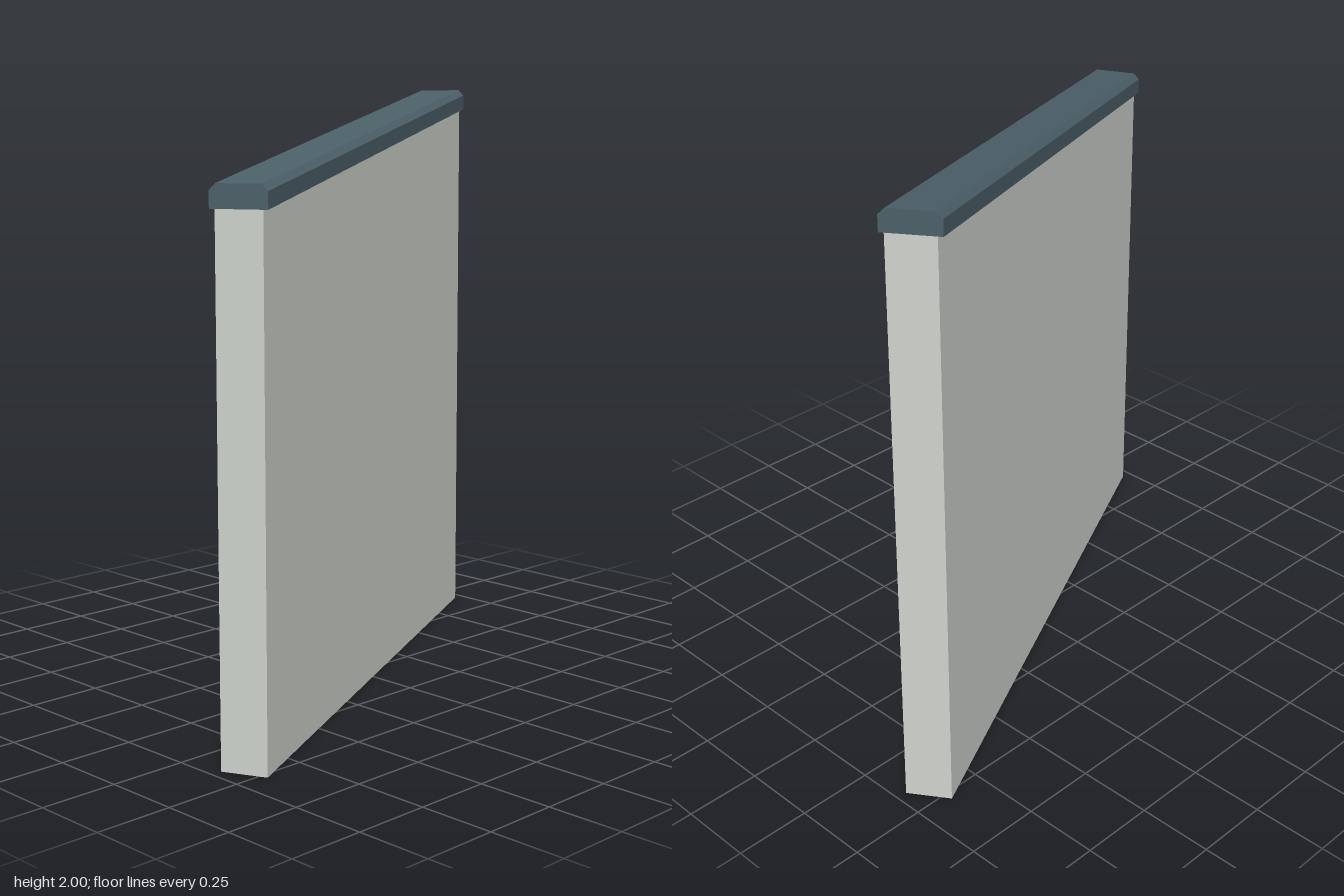
import * as THREE from 'three';

// Solid between two matching cross-sections, listed counter-clockwise seen from the front
function loft(front, back) {
  const pos = [];
  const tri = (a, b, c) => pos.push(...a, ...b, ...c);
  const n = front.length;
  for (let i = 0; i < n; i++) {
    const j = (i + 1) % n;
    tri(front[i], back[j], front[j]);
    tri(front[i], back[i], back[j]);
  }
  for (let i = 1; i < n - 1; i++) {
    tri(front[0], front[i], front[i + 1]);
    tri(back[0], back[i + 1], back[i]);
  }
  const geometry = new THREE.BufferGeometry();
  geometry.setAttribute('position', new THREE.Float32BufferAttribute(pos, 3));
  geometry.computeVertexNormals();
  return geometry;
}

// Section across the wall: p and q are the two plan corners, profile gives [t across, height]
const section = (p, q, profile) => profile.map(([t, y]) => [
  p[0] + (q[0] - p[0]) * t, y, p[1] + (q[1] - p[1]) * t,
]);

const wallProfile = (top) => [[0, 0], [1, 0], [1, top], [0, top]];
// Coping with bevelled upper edges
const copingProfile = (y) => [
  [0, y], [1, y], [1, y + 0.052], [0.89, y + 0.072], [0.11, y + 0.072], [0, y + 0.052],
];

export function createModel() {
  const group = new THREE.Group();
  const add = (name, color, geometry) => {
    const material = new THREE.MeshStandardMaterial({ color, flatShading: true });
    const mesh = new THREE.Mesh(geometry, material);
    mesh.name = name;
    group.add(mesh);
  };

  // Slanting wall panel with mitred ends
  add('wallPanel', 0xd2d6d0, loft(
    section([0.392, 0.965], [0.526, 0.902], wallProfile(1.68)),
    section([-0.53, -0.882], [-0.407, -0.965], wallProfile(1.96)),
  ));

  // Sloping coping, slightly wider than the wall
  add('coping', 0x4c6169, loft(
    section([0.378, 0.974], [0.541, 0.897], copingProfile(1.65)),
    section([-0.545, -0.875], [-0.396, -0.976], copingProfile(1.928)),
  ));

  return group;
}
